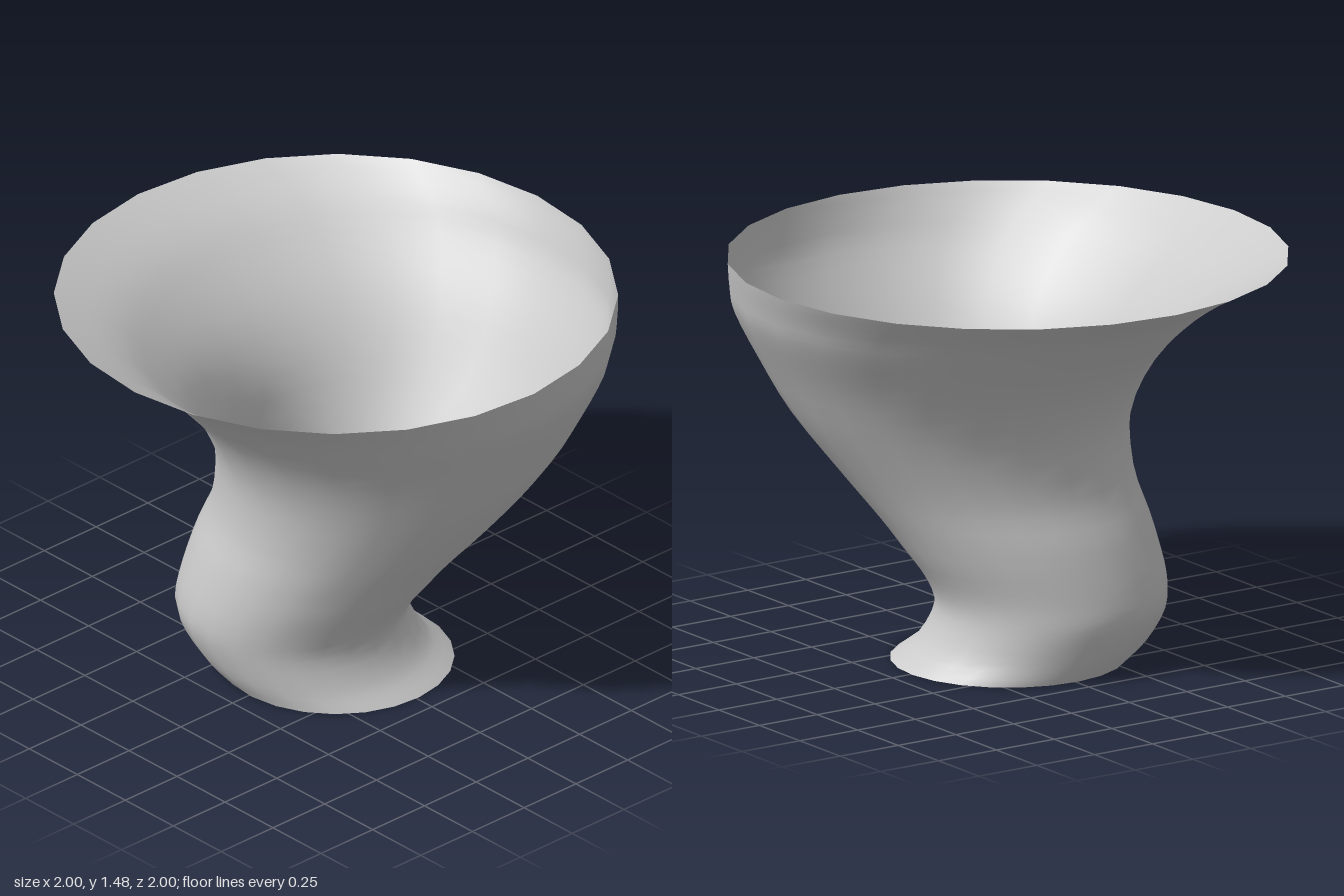
import * as THREE from 'three';
import { mergeVertices } from 'three/addons/utils/BufferGeometryUtils.js';

// Round cross-sections from foot to rim: [height, centre x, centre z, radius]
const SECTIONS = [
  [0, 0, 0, 0.42],
  [0.08, -0.06, 0.065, 0.408],
  [0.2, -0.105, 0.109, 0.412],
  [0.3, -0.09, 0.105, 0.427],
  [0.42, -0.042, 0.066, 0.457],
  [0.52, 0.002, 0.03, 0.48],
  [0.68, 0.083, -0.032, 0.521],
  [0.9, 0.151, -0.097, 0.606],
  [1.1, 0.154, -0.112, 0.707],
  [1.28, 0.116, -0.092, 0.833],
  [1.38, 0.07, -0.055, 0.908],
  [1.475, 0, 0, 1],
];
const SIDES = 24;
const ROWS = 33;

// Open shell: a unit cylinder whose rings follow the curved axis and radius
function swayingShell() {
  const curve = (pick) => new THREE.CatmullRomCurve3(SECTIONS.map(pick), false, 'catmullrom', 0.5);
  const axis = curve(([y, x, z]) => new THREE.Vector3(x, y, z));
  const width = curve(([y, , , r]) => new THREE.Vector3(r, y, 0));

  const geometry = new THREE.CylinderGeometry(1, 1, 1, SIDES, ROWS, true, 0.03);
  const position = geometry.attributes.position;
  for (let i = 0; i < position.count; i++) {
    const t = THREE.MathUtils.clamp(position.getY(i) + 0.5, 0, 1);
    const centre = axis.getPoint(t);
    const radius = width.getPoint(t).x;
    position.setXYZ(
      i,
      centre.x + radius * position.getX(i),
      centre.y,
      centre.z + radius * position.getZ(i),
    );
  }

  // Weld the seam so the shading is smooth all round
  geometry.deleteAttribute('uv');
  geometry.deleteAttribute('normal');
  const welded = mergeVertices(geometry, 1e-4);
  welded.computeVertexNormals();
  return welded;
}

export function createModel() {
  const model = new THREE.Group();
  model.name = 'flaredVessel';
  const material = new THREE.MeshStandardMaterial({ color: 0xcccccc, side: THREE.DoubleSide });
  const shell = new THREE.Mesh(swayingShell(), material);
  shell.name = 'shell';
  model.add(shell);
  return model;
}
